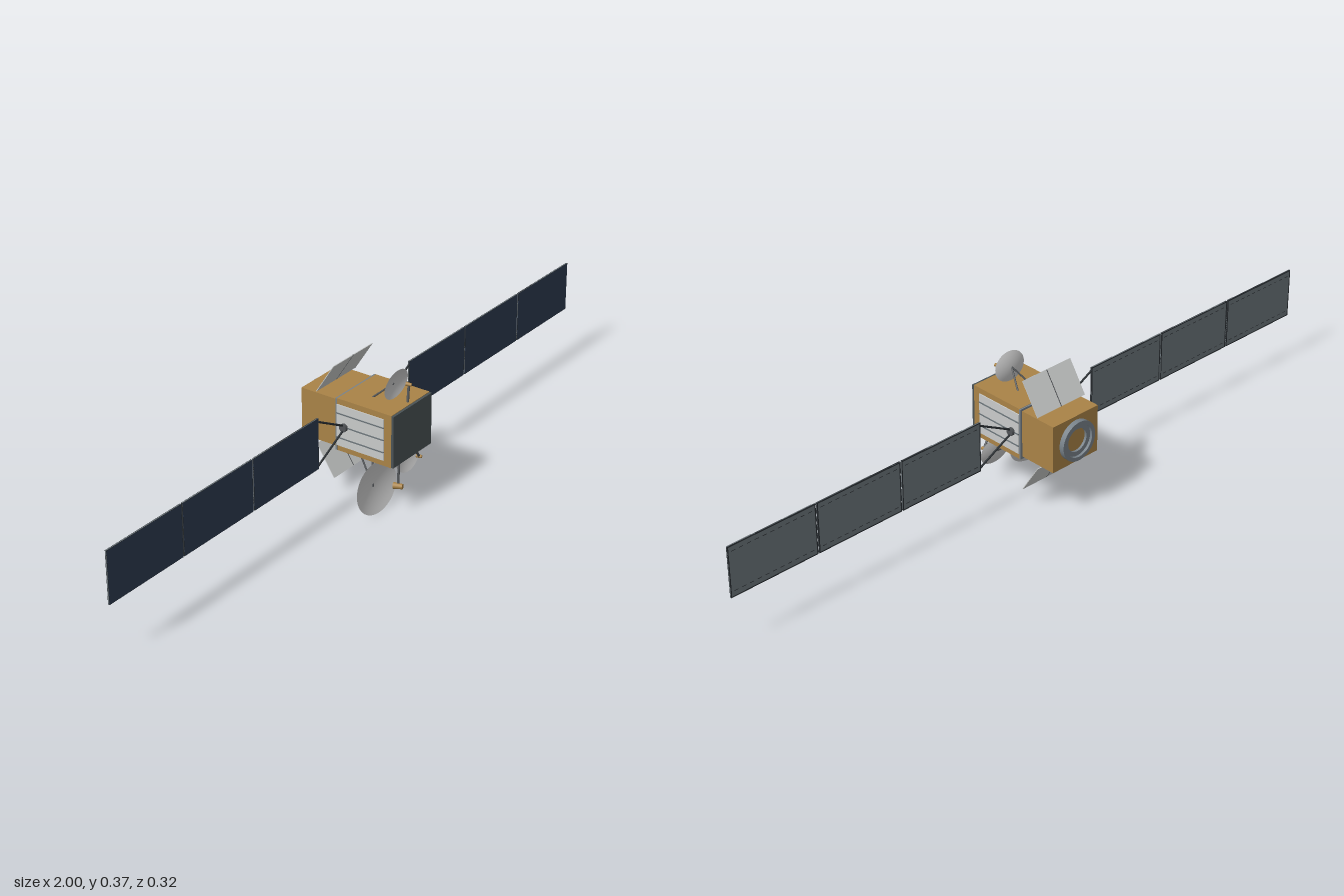
import * as THREE from 'three';

const mat = (name, color, side = THREE.FrontSide) => {
  const m = new THREE.MeshStandardMaterial({ color, side });
  m.name = name;
  return m;
};

export function createModel() {
  const gold = mat('gold foil', 0xa98347);
  const white = mat('radiator white', 0xc9cbca);
  const dishMat = mat('reflector grey', 0xcacaca, THREE.DoubleSide);
  const navy = mat('solar cells', 0x2c3a50);
  const backing = mat('array backing', 0x6c757a);
  const dark = mat('dark frame', 0x2a2f33);
  const strutMat = mat('strut grey', 0x505356);
  const plateMat = mat('front plate grey', 0x4a5255);
  const ringMat = mat('ring metal', 0x78828a, THREE.DoubleSide);

  const model = new THREE.Group();
  model.name = 'satellite';
  const CY = 0.215; // height of the body axis

  const add = (name, geo, material, pos = [0, 0, 0], parent = model) => {
    const m = new THREE.Mesh(geo, material);
    m.name = name;
    m.position.set(...pos);
    parent.add(m);
    return m;
  };
  const box = (name, size, pos, material, parent) =>
    add(name, new THREE.BoxGeometry(...size), material, pos, parent);
  // Cylinder between two points, radius ra at a and rb at b
  const rod = (name, a, b, ra, material = strutMat, rb = ra, sides = 8) => {
    const va = new THREE.Vector3(...a), vb = new THREE.Vector3(...b);
    const dir = vb.clone().sub(va);
    const m = add(name, new THREE.CylinderGeometry(rb, ra, dir.length(), sides), material);
    m.position.copy(va).add(vb).multiplyScalar(0.5);
    m.quaternion.setFromUnitVectors(new THREE.Vector3(0, 1, 0), dir.normalize());
    return m;
  };

  // Body
  box('mainBody', [0.17, 0.15, 0.17], [0, CY, 0.06], gold);
  box('frontPlate', [0.17, 0.147, 0.007], [0, CY, 0.1485], plateMat);
  box('collar', [0.172, 0.149, 0.005], [0, CY, -0.0275], ringMat);
  box('rearBody', [0.16, 0.136, 0.113], [0, CY + 0.001, -0.0865], gold);

  // Launch adapter ring, stepped inwards, with foil at its centre
  const ringProfile = [
    [0.057, 0], [0.057, 0.0145], [0.057, 0.0145], [0.046, 0.0145], [0.046, 0.0145],
    [0.046, 0.007], [0.046, 0.007], [0.033, 0.007], [0.033, 0.007], [0.033, 0],
  ].map(([r, y]) => new THREE.Vector2(r, y));
  const ring = add('adapterRing', new THREE.LatheGeometry(ringProfile, 40), ringMat, [0, CY + 0.001, -0.143]);
  ring.rotation.x = -Math.PI / 2;

  for (const s of [-1, 1]) {
    // Side radiator with heat pipes
    box('radiator', [0.004, 0.118, 0.148], [s * 0.086, CY, 0.049], white);
    for (const y of [-0.035, 0, 0.035])
      box('heatPipe', [0.003, 0.003, 0.148], [s * 0.0885, CY + y, 0.049], backing);

    // Array drive hub and V-shaped yoke
    rod('driveHub', [s * 0.08, CY, 0], [s * 0.097, CY, 0], 0.011, strutMat, 0.011, 20);
    for (const t of [-1, 1])
      rod('yokeArm', [s * 0.09, CY + t * 0.005, 0], [s * 0.202, CY + t * 0.064, 0], 0.0028, dark);

    // Solar wing of three panels
    const wing = new THREE.Group();
    wing.name = 'solarWing';
    model.add(wing);
    const W = 0.264, H = 0.145, gap = 0.004;
    for (let i = 0; i < 3; i++) {
      const x = s * (0.2 + W / 2 + i * (W + gap));
      box('panelBacking', [W, H, 0.003], [x, CY + 0.001, -0.0005], backing, wing);
      box('panelCells', [W - 0.002, H - 0.002, 0.001], [x, CY + 0.001, 0.0015], navy, wing);
      for (const t of [-1, 1]) {
        box('panelLongEdge', [W, 0.003, 0.0045], [x, CY + 0.001 + t * (H / 2 - 0.0015), -0.0005], dark, wing);
        box('panelEndEdge', [0.003, H, 0.0045], [x + t * (W / 2 - 0.0015), CY + 0.001, -0.0005], dark, wing);
        // Dashed cable run on the rear face
        for (let k = 0; k < 11; k++)
          box('cableDash', [0.012, 0.0015, 0.001], [x + (k - 5) * 0.023, CY + 0.001 + t * 0.056, -0.0022], dark, wing);
      }
    }

    // Tilted thermal flap above and below the rear body
    const flap = new THREE.Group();
    flap.name = 'thermalFlap';
    flap.position.set(0, CY + s * 0.119, -0.0635);
    flap.rotation.x = s * Math.atan2(0.055, 0.086);
    model.add(flap);
    for (const t of [-1, 1])
      box('flapPanel', [0.084, 0.102, 0.002], [t * 0.0428, 0, 0], white, flap);
    box('flapSeam', [0.0025, 0.102, 0.0024], [0, 0, 0], strutMat, flap);
  }

  // Dish antenna: elliptical bowl, two rear struts, feed arm and horn
  const dish = ({ name, c, rx, ry, depth, tilt, root, feed, arm, horn }) => {
    const pts = [];
    for (let i = 0; i <= 8; i++) {
      const r = i / 8;
      pts.push(new THREE.Vector2(r, depth * (r * r - 1)));
    }
    const geo = new THREE.LatheGeometry(pts, 40);
    geo.rotateX(Math.PI / 2);
    geo.scale(rx, ry, 1);
    const bowl = add(name + 'Reflector', geo, dishMat, c);
    bowl.rotation.x = tilt;
    const back = [c[0], c[1], c[2] - depth + 0.001];
    for (const t of [-1, 1])
      rod(name + 'Strut', back, [root + t * 0.025, c[1] > CY ? 0.287 : 0.143, 0.042], 0.0024);
    rod(name + 'FeedArm', arm, feed, 0.0035);
    const f = new THREE.Vector3(...feed);
    const d = new THREE.Vector3(c[0], c[1], c[2]).sub(f);
    d.x *= 0.3;
    d.normalize().multiplyScalar(horn / 2);
    rod(name + 'FeedHorn', f.clone().sub(d).toArray(), f.clone().add(d).toArray(),
      horn * 0.28, gold, horn * 0.36, 16);
  };
  dish({ name: 'largeDish', c: [-0.09, 0.072, 0.104], rx: 0.086, ry: 0.069, depth: 0.013, tilt: -0.135,
    root: -0.05, feed: [-0.053, 0.074, 0.145], arm: [-0.037, 0.143, 0.136], horn: 0.025 });
  dish({ name: 'smallDish', c: [0.053, 0.101, 0.1], rx: 0.053, ry: 0.043, depth: 0.009, tilt: -0.12,
    root: 0.05, feed: [0.072, 0.1, 0.124], arm: [0.036, 0.143, 0.133], horn: 0.015 });
  dish({ name: 'topDish', c: [0, 0.332, 0.1], rx: 0.051, ry: 0.041, depth: 0.009, tilt: 0.12,
    root: 0, feed: [0.02, 0.331, 0.125], arm: [0.004, 0.288, 0.133], horn: 0.015 });

  return model;
}
